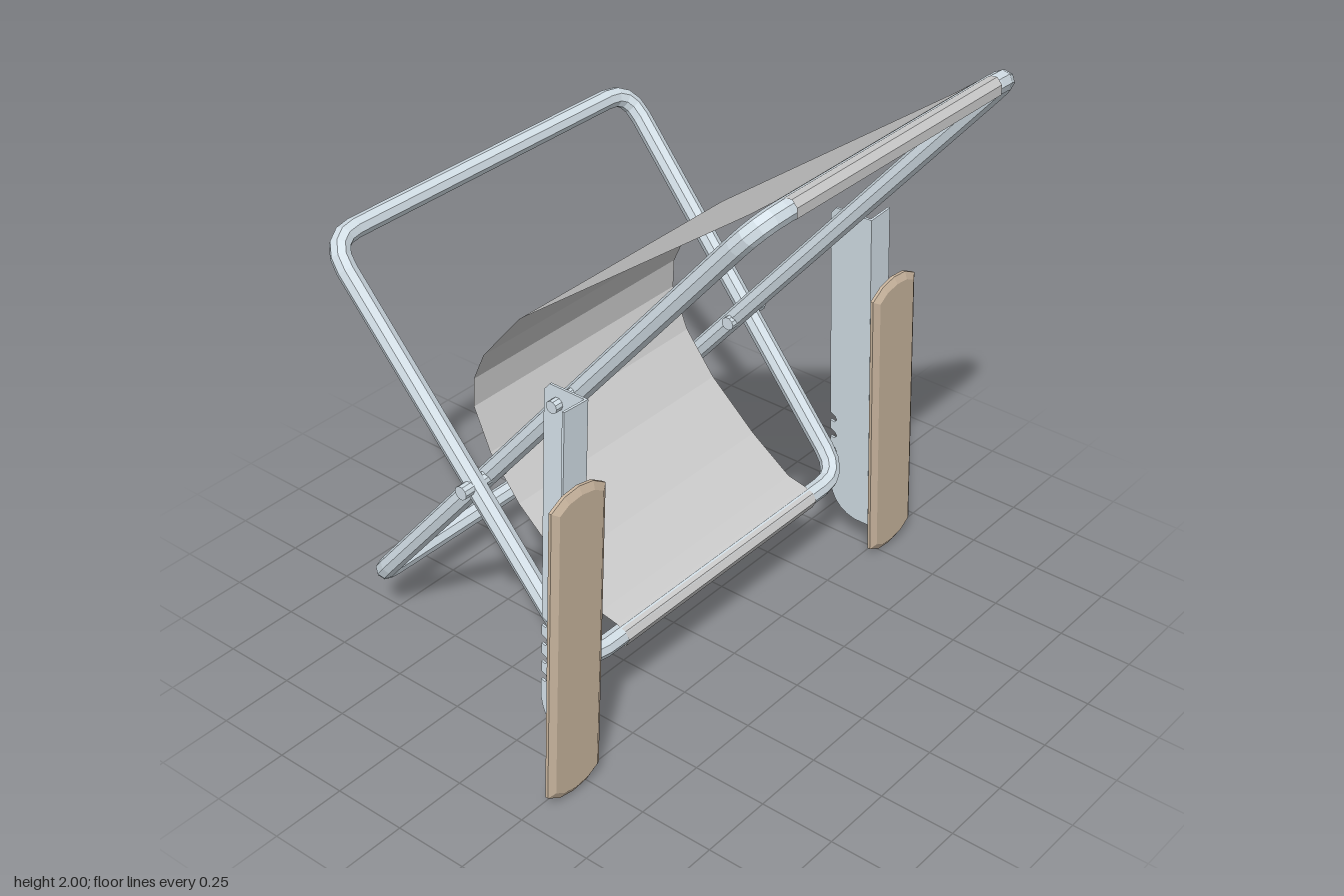
import * as THREE from 'three';

const metal = new THREE.MeshStandardMaterial({ color: 0xd3dfe7, flatShading: true });
const wood = new THREE.MeshStandardMaterial({ color: 0xc9b59e, flatShading: true });
const cloth = new THREE.MeshStandardMaterial({ color: 0xcccccc, flatShading: true, side: THREE.DoubleSide });

const R = 0.033; // tube radius

function mesh(name, geometry, material) {
  const m = new THREE.Mesh(geometry, material);
  m.name = name;
  return m;
}

// Closed polyline whose tangents bisect each bend, so tubes are mitred
class Loop extends THREE.Curve {
  constructor(points) {
    super();
    this.points = points;
  }
  at(i) {
    const n = this.points.length;
    return this.points[(i + n) % n];
  }
  getPointAt(u, target = new THREE.Vector3()) {
    return target.copy(this.at(Math.round(u * this.points.length)));
  }
  getTangentAt(u, target = new THREE.Vector3()) {
    const i = Math.round(u * this.points.length);
    const a = this.at(i).clone().sub(this.at(i - 1)).normalize();
    const b = this.at(i + 1).clone().sub(this.at(i)).normalize();
    return target.copy(a.add(b).normalize());
  }
}

// Rounded rectangular tube frame between a top bar and a bottom bar
function tubeFrame(name, top, bottom) {
  const corners = [
    new THREE.Vector3(top.x, top.y, top.z),
    new THREE.Vector3(-top.x, top.y, top.z),
    new THREE.Vector3(-bottom.x, bottom.y, bottom.z),
    new THREE.Vector3(bottom.x, bottom.y, bottom.z),
  ];
  const points = [];
  corners.forEach((c, i) => {
    const toward = (o) => o.clone().sub(c).setLength(0.1).add(c);
    const bend = new THREE.QuadraticBezierCurve3(
      toward(corners[(i + 3) % 4]), c, toward(corners[(i + 1) % 4]));
    points.push(...bend.getPoints(4));
  });
  return mesh(name, new THREE.TubeGeometry(new Loop(points), points.length, R, 8, true), metal);
}

// Fabric sling: a ribbon following a [z, y] profile
function sling() {
  const profile = [
    [0.735, 1.935], [0.765, 1.932], [0.788, 1.95], [0.787, 1.98], [0.77, 1.999], [0.745, 1.995],
    [0.70, 1.962], [0.64, 1.913],
    [-0.19, 1.29], [-0.34, 1.11], [-0.385, 1.01], [-0.39, 0.91],
    [-0.33, 0.77], [-0.22, 0.63], [-0.05, 0.48], [0.10, 0.375],
    [0.165, 0.362], [0.20, 0.35], [0.214, 0.325], [0.20, 0.295], [0.17, 0.284], [0.145, 0.298],
  ];
  const g = new THREE.PlaneGeometry(0.94, 1, 1, profile.length - 1);
  const p = g.attributes.position;
  for (let i = 0; i < p.count; i++) {
    const [z, y] = profile[Math.floor(i / 2)];
    p.setXYZ(i, p.getX(i), y, z);
  }
  g.computeVertexNormals();
  return mesh('fabricSling', g, cloth);
}

// Pin lying along x
function pin(name, x0, x1, y, z, r) {
  const g = new THREE.CylinderGeometry(r, r, Math.abs(x1 - x0), 10).rotateZ(Math.PI / 2);
  const m = mesh(name, g, metal);
  m.position.set((x0 + x1) / 2, y, z);
  return m;
}

// Side plate outline in (z, y), with locking notches on the back edge
function sidePlateGeometry() {
  const s = new THREE.Shape();
  s.moveTo(0.245, 0.10);
  s.lineTo(0.245, 1.29);
  s.lineTo(0.11, 1.29);
  s.lineTo(0.09, 1.265);
  for (const y of [0.50, 0.435, 0.37, 0.305]) {
    s.lineTo(0.09, y);
    s.lineTo(0.108, y - 0.008);
    s.lineTo(0.115, y - 0.022);
    s.lineTo(0.105, y - 0.033);
    s.lineTo(0.09, y - 0.03);
  }
  s.lineTo(0.09, 0.21);
  s.quadraticCurveTo(0.105, 0.115, 0.19, 0.10);
  s.closePath();
  return new THREE.ExtrudeGeometry(s, { depth: 0.008, bevelEnabled: false, curveSegments: 5 })
    .rotateY(-Math.PI / 2).translate(0.004, -0.7, 0);
}

// Wooden board with bowed ends and bevelled edges
function boardGeometry() {
  const outline = [
    [-0.113, -0.492], [-0.06, -0.522], [0, -0.531], [0.06, -0.522], [0.113, -0.492],
    [0.113, 0.492], [0.06, 0.522], [0, 0.531], [-0.06, 0.522], [-0.113, 0.492],
  ].map(([x, y]) => new THREE.Vector2(x, y));
  return new THREE.ExtrudeGeometry(new THREE.Shape(outline), {
    depth: 0.01, bevelThickness: 0.013, bevelSize: 0.022, bevelOffset: -0.022, bevelSegments: 1,
  }).translate(0, 0, -0.005);
}

// Armrest: angle bracket and board, leaning inward at the top
function armrest(side, name) {
  const g = new THREE.Group();
  g.name = name;
  g.position.set(side * 0.70, 0.7, 0);
  g.rotation.z = side * 0.055;
  const flange = mesh('bracketFlange', new THREE.BoxGeometry(0.095, 1.19, 0.008), metal);
  flange.position.set(side * 0.047, -0.005, 0.241);
  const board = mesh('armrestBoard', boardGeometry(), wood);
  board.position.set(side * 0.071, -0.17, 0.277);
  g.add(mesh('bracketPlate', sidePlateGeometry(), metal), flange, board);
  return g;
}

export function createModel() {
  const model = new THREE.Group();
  model.name = 'foldingChair';
  model.add(
    tubeFrame('backFrame', { x: 0.585, y: 1.963, z: 0.752 }, { x: 0.587, y: 0.175, z: -0.75 }),
    tubeFrame('seatFrame', { x: 0.667, y: 1.435, z: -0.752 }, { x: 0.642, y: 0.325, z: 0.177 }),
    sling(),
  );
  for (const [side, label] of [[1, 'left'], [-1, 'right']]) {
    model.add(
      armrest(side, label + 'Armrest'),
      pin(label + 'CrossPivot', side * 0.54, side * 0.715, 0.80, -0.218, 0.023),
      pin(label + 'ArmrestPivot', side * 0.60, side * 0.70, 1.237, 0.14, 0.02),
    );
  }
  return model;
}
